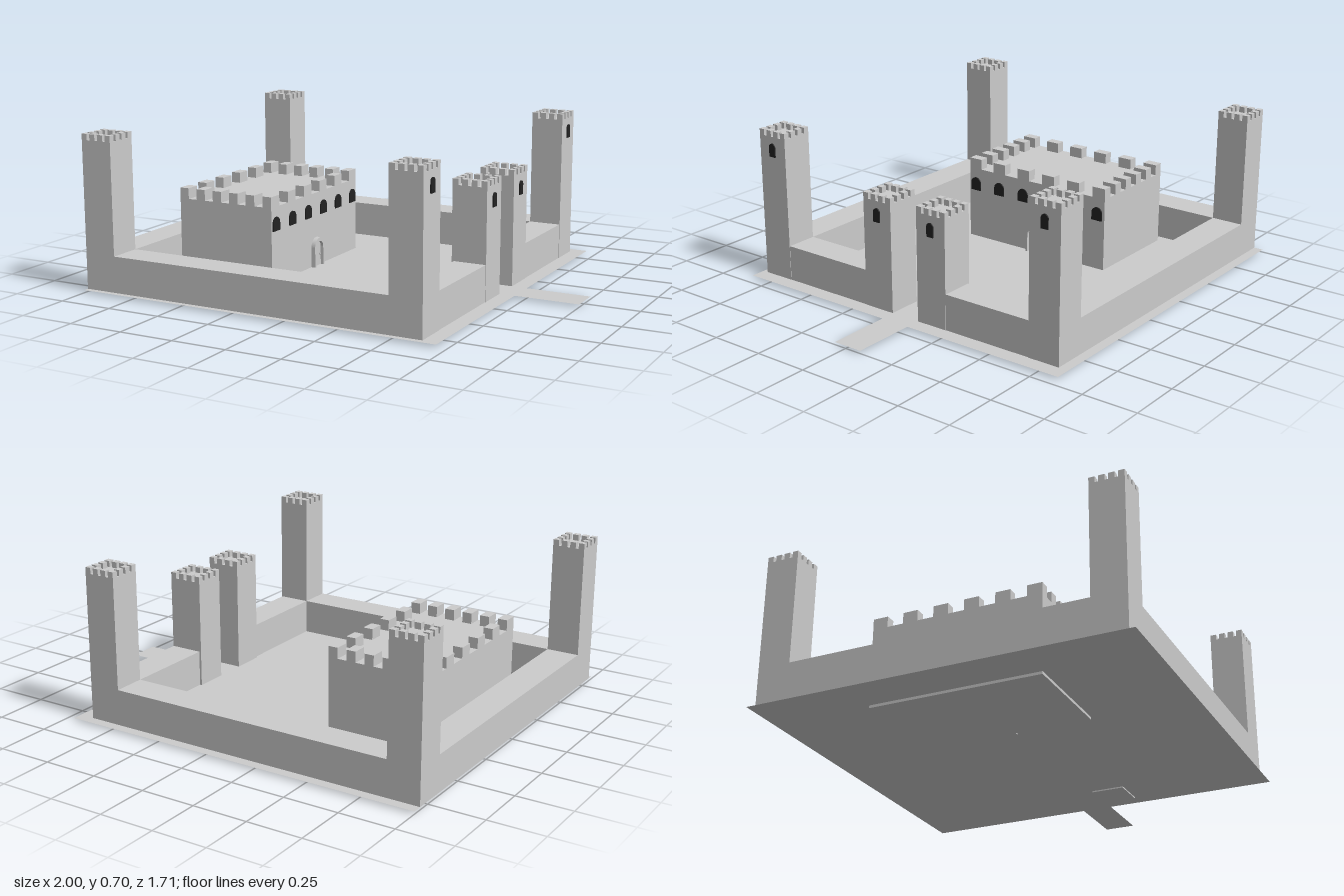
import * as THREE from 'three';

export function createModel() {
  const root = new THREE.Group();
  const stone = new THREE.MeshStandardMaterial({ color: 0xcccccc, flatShading: true });
  const sheet = new THREE.MeshStandardMaterial({ color: 0xcccccc, side: THREE.DoubleSide });
  const dark = new THREE.MeshStandardMaterial({ color: 0x222222 });
  const GROUND = 0.012;

  // Box given by its extents on each axis
  function box(parent, name, x0, x1, y0, y1, z0, z1) {
    const m = new THREE.Mesh(new THREE.BoxGeometry(x1 - x0, y1 - y0, z1 - z0), stone);
    m.position.set((x0 + x1) / 2, (y0 + y1) / 2, (z0 + z1) / 2);
    m.name = name;
    parent.add(m);
  }

  // Thin horizontal sheet
  function flat(name, x0, x1, z0, z1) {
    const m = new THREE.Mesh(new THREE.PlaneGeometry(x1 - x0, z1 - z0), sheet);
    m.rotation.x = -Math.PI / 2;
    m.position.set((x0 + x1) / 2, GROUND, (z0 + z1) / 2);
    m.name = name;
    root.add(m);
  }

  // Ring of n x n merlons around the edge of a roof
  function merlons(parent, n, x0, x1, z0, z1, y0, y1, sx, sz) {
    for (let i = 0; i < n; i++) for (let j = 0; j < n; j++) {
      if (i > 0 && i < n - 1 && j > 0 && j < n - 1) continue;
      const x = x0 + (x1 - x0 - sx) * i / (n - 1);
      const z = z0 + (z1 - z0 - sz) * j / (n - 1);
      box(parent, 'merlon', x, x + sx, y0, y1, z, z + sz);
    }
  }

  // Outline with straight sides and a round head, standing on y = 0
  function archPath(Type, w, h) {
    const p = new Type();
    p.moveTo(-w / 2, 0);
    p.lineTo(w / 2, 0);
    p.lineTo(w / 2, h - w / 2);
    p.absarc(0, h - w / 2, w / 2, 0, Math.PI, false);
    p.lineTo(-w / 2, 0);
    return p;
  }

  // Extruded arch shape facing +x
  function arch(parent, name, shape, depth, x, y, z, material) {
    const g = new THREE.ExtrudeGeometry(shape, { depth, bevelEnabled: false, curveSegments: 12 });
    const m = new THREE.Mesh(g, material);
    m.rotation.y = Math.PI / 2;
    m.position.set(x, y, z);
    m.name = name;
    parent.add(m);
  }

  function tower(name, x0, x1, z0, z1, y0, top, windowY) {
    const g = new THREE.Group();
    g.name = name;
    box(g, 'towerShaft', x0, x1, y0, top - 0.027, z0, z1);
    merlons(g, 4, x0, x1, z0, z1, top - 0.027, top, 0.027, 0.027);
    if (windowY) {
      arch(g, 'towerWindow', archPath(THREE.Shape, 0.034, 0.062), 0.008, x1 - 0.002, windowY, (z0 + z1) / 2, dark);
    }
    root.add(g);
  }

  // Ground and approach bridge
  flat('ground', -1, 0.705, -0.855, 0.85);
  flat('bridge', 0.705, 1, -0.08, 0.06);

  // Corner towers
  const zBack = [-0.81, -0.66], zFront = [0.673, 0.825];
  for (const [z0, z1] of [zBack, zFront]) {
    tower('rearCornerTower', -1, -0.85, z0, z1, GROUND, 0.703);
    tower('gateCornerTower', 0.485, 0.635, z0, z1, GROUND, 0.703, 0.584);
  }

  // Gate towers
  tower('gateTower', 0.475, 0.635, -0.232, -0.08, GROUND, 0.535, 0.414);
  tower('gateTower', 0.475, 0.635, 0.062, 0.213, 0.006, 0.535, 0.414);

  // Curtain walls, leaving the gateway open
  const wall = 0.175;
  box(root, 'sideWall', -0.85, 0.485, GROUND, wall, ...zBack);
  box(root, 'sideWall', -0.85, 0.485, GROUND, wall, ...zFront);
  box(root, 'rearWall', -1, -0.85, GROUND, wall, -0.66, 0.673);
  box(root, 'gateWall', 0.485, 0.633, GROUND, wall, -0.66, -0.232);
  box(root, 'gateWall', 0.485, 0.633, GROUND, wall, 0.213, 0.673);

  // Keep with battlements and a row of windows
  const keep = new THREE.Group();
  keep.name = 'keep';
  root.add(keep);
  box(keep, 'keepBody', -0.803, -0.32, 0, 0.358, -0.39, 0.387);
  merlons(keep, 6, -0.803, -0.32, -0.39, 0.387, 0.358, 0.407, 0.045, 0.068);
  for (let i = 0; i < 6; i++) {
    arch(keep, 'keepWindow', archPath(THREE.Shape, 0.055, 0.063), 0.008, -0.322, 0.25, 0.35 - 0.14 * i, dark);
  }

  // Door with a raised arched frame and a small handle
  const frame = archPath(THREE.Shape, 0.086, 0.146);
  const hole = archPath(THREE.Path, 0.064, 0.128);
  frame.holes.push(hole);
  arch(keep, 'doorFrame', frame, 0.022, -0.322, 0.002, -0.003, stone);
  arch(keep, 'doorPanel', archPath(THREE.Shape, 0.066, 0.13), 0.008, -0.322, 0.002, -0.003, stone);
  const handle = new THREE.Mesh(new THREE.SphereGeometry(0.005, 10, 8), stone);
  handle.position.set(-0.312, 0.065, -0.024);
  handle.name = 'doorHandle';
  keep.add(handle);

  return root;
}
